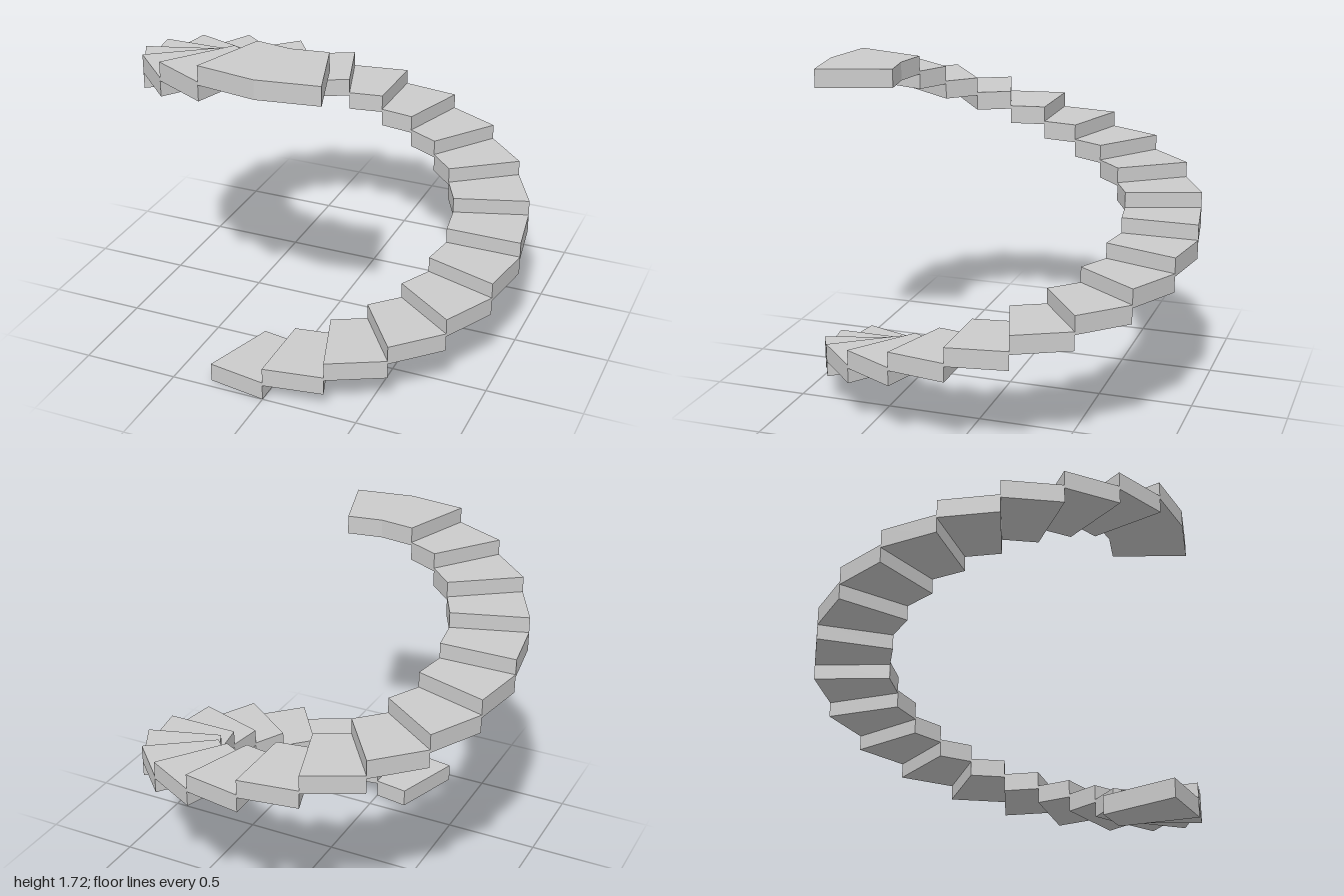
import * as THREE from 'three';

const INNER = 0.6, OUTER = 1, SECTOR = Math.PI / 10;
const RISE = 0.0813, THICKNESS = 0.0975, STEPS = 20;

// Ring segment slab covering a number of straight-edged sectors, angle 0 at the front
function slabGeometry(sectors) {
  const points = [];
  const corner = (radius, i) =>
    points.push(new THREE.Vector2(radius * Math.sin(i * SECTOR), -radius * Math.cos(i * SECTOR)));
  for (let i = 0; i <= sectors; i++) corner(OUTER, i);
  for (let i = sectors; i >= 0; i--) corner(INNER, i);
  return new THREE.ExtrudeGeometry(new THREE.Shape(points), { depth: THICKNESS, bevelEnabled: false })
    .rotateX(-Math.PI / 2);
}

export function createModel() {
  const stair = new THREE.Group();
  stair.name = 'spiralStair';
  const material = new THREE.MeshStandardMaterial({ color: 0xcccccc, flatShading: true });

  const addSlab = (name, geometry, index) => {
    const slab = new THREE.Mesh(geometry, material);
    slab.name = name;
    slab.position.y = index * RISE;
    slab.rotation.y = (index - 1) * SECTOR;
    stair.add(slab);
  };

  // One full turn of wedge treads
  const treadGeometry = slabGeometry(1);
  for (let i = 0; i < STEPS; i++) addSlab(`tread${i + 1}`, treadGeometry, i);

  // Double-width landing at the top
  addSlab('landing', slabGeometry(2), STEPS);
  return stair;
}
